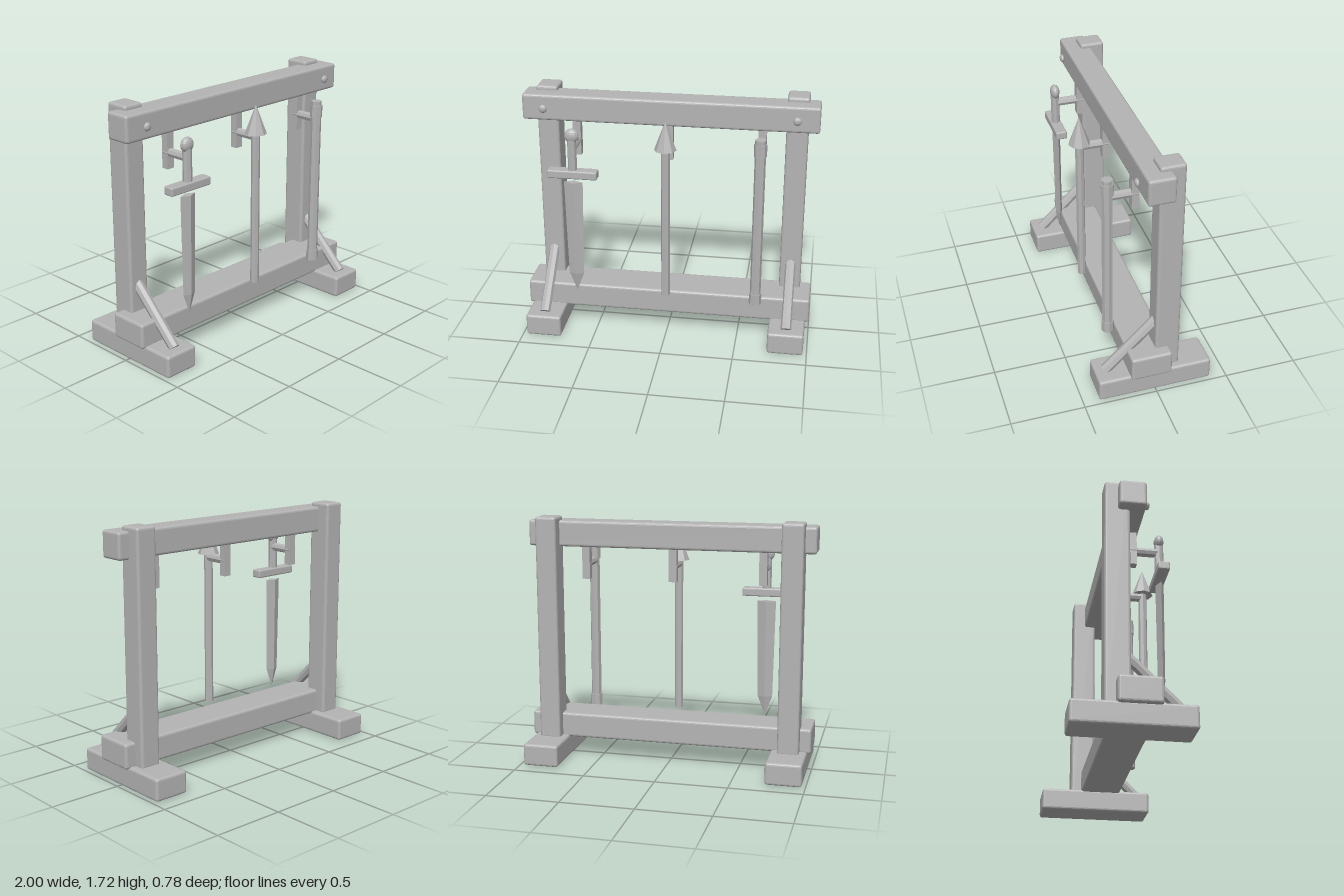
import * as THREE from 'three';
import { RoundedBoxGeometry } from 'three/addons/geometries/RoundedBoxGeometry.js';

export function createModel() {
  const model = new THREE.Group();
  model.name = 'weaponRack';
  const grey = new THREE.MeshStandardMaterial({ color: 0xb4b4b4 });
  grey.name = 'plain grey';
  grey.flatShading = true;

  const add = (name, geometry, x = 0, y = 0, z = 0, parent = model) => {
    const mesh = new THREE.Mesh(geometry, grey);
    mesh.name = name;
    mesh.position.set(x, y, z);
    parent.add(mesh);
    return mesh;
  };

  // Box with softened edges, given by its extents
  const beam = (name, [x0, x1], [y0, y1], [z0, z1], bevel = 0.018, parent = model) =>
    add(name, new RoundedBoxGeometry(x1 - x0, y1 - y0, z1 - z0, 2, bevel),
      (x0 + x1) / 2, (y0 + y1) / 2, (z0 + z1) / 2, parent);

  // Eight-sided upright rod between two heights
  const rod = (name, x, y0, y1, z, radius, parent = model, topRadius = radius) =>
    add(name, new THREE.CylinderGeometry(topRadius, radius, y1 - y0, 8), x, (y0 + y1) / 2, z, parent);

  // Frame
  beam('topBeam', [-1, 1], [1.51, 1.69], [-0.09, 0.09]);
  beam('bottomBeam', [-1, 1], [0.14, 0.315], [-0.105, 0.175]);
  for (const side of [-1, 1]) {
    const label = side > 0 ? 'left' : 'right';
    const cx = side * 0.85;
    beam(label + 'Post', [cx - 0.074, cx + 0.074], [0.14, 1.72], [-0.177, -0.01]);
    beam(label + 'Foot', [cx - 0.124, cx + 0.124], [0, 0.155], [-0.39, 0.39]);

    // Diagonal brace from foot to post
    const low = new THREE.Vector3(cx, 0.155, 0.315);
    const high = new THREE.Vector3(cx, 0.52, -0.05);
    const brace = add(label + 'Brace', new THREE.CylinderGeometry(0.037, 0.037, low.distanceTo(high), 8));
    brace.position.copy(low).lerp(high, 0.5);
    brace.rotation.x = -Math.PI / 4;

    // Domed peg head on the top beam
    add(label + 'PegHead', new THREE.SphereGeometry(0.028, 12, 8), cx, 1.6, 0.113).scale.z = 0.6;
  }

  // Hangers behind each weapon
  const z = 0.23;
  for (const x of [-0.63, 0, 0.625]) {
    const hanger = new THREE.Group();
    hanger.name = 'hanger';
    model.add(hanger);
    add('hangerPlate', new THREE.BoxGeometry(0.055, 0.27, 0.05), x, 1.405, 0.052, hanger);
    const peg = add('hangerPeg', new THREE.CylinderGeometry(0.03, 0.03, 0.18, 8), x, 1.378, 0.125, hanger);
    peg.rotation.x = Math.PI / 2;
  }

  // Spear
  const spear = new THREE.Group();
  spear.name = 'spear';
  model.add(spear);
  rod('spearShaft', 0, 0.32, 1.42, z, 0.03, spear);
  add('spearHead', new THREE.ConeGeometry(0.075, 0.2, 8), 0, 1.5, z, spear);

  // Staff with end caps
  const staff = new THREE.Group();
  staff.name = 'staff';
  model.add(staff);
  rod('staffShaft', 0.625, 0.32, 1.505, z, 0.037, staff);
  rod('staffTopCap', 0.625, 1.39, 1.475, z, 0.043, staff);
  rod('staffBottomCap', 0.625, 0.3, 0.38, z, 0.043, staff);

  // Sword hanging point down
  const sword = new THREE.Group();
  sword.name = 'sword';
  model.add(sword);
  const sx = -0.63;
  add('pommel', new THREE.SphereGeometry(0.05, 14, 10), sx, 1.463, z, sword).scale.z = 0.65;
  rod('grip', sx, 1.2, 1.44, z, 0.031, sword);
  beam('guard', [sx - 0.17, sx + 0.17], [1.165, 1.223], [0.192, 0.27], 0.01, sword);

  // Diamond-section blade: four-sided rings closing to a point
  const rings = [[1.13, 0.065, 0.028], [0.44, 0.052, 0.024], [0.3, 0, 0]];
  const points = [];
  for (const [y, w, d] of rings) points.push([w, y, 0], [0, y, d], [-w, y, 0], [0, y, -d]);
  const index = [0, 2, 1, 0, 3, 2];
  for (let r = 0; r < 2; r++) {
    for (let i = 0; i < 4; i++) {
      const a = r * 4 + i, b = r * 4 + (i + 1) % 4;
      index.push(a, b, a + 4);
      if (r === 0) index.push(b, b + 4, a + 4);
    }
  }
  let blade = new THREE.BufferGeometry();
  blade.setAttribute('position', new THREE.Float32BufferAttribute(points.flat(), 3));
  blade.setIndex(index);
  blade = blade.toNonIndexed();
  blade.computeVertexNormals();
  add('blade', blade, sx, 0, z, sword);

  return model;
}
